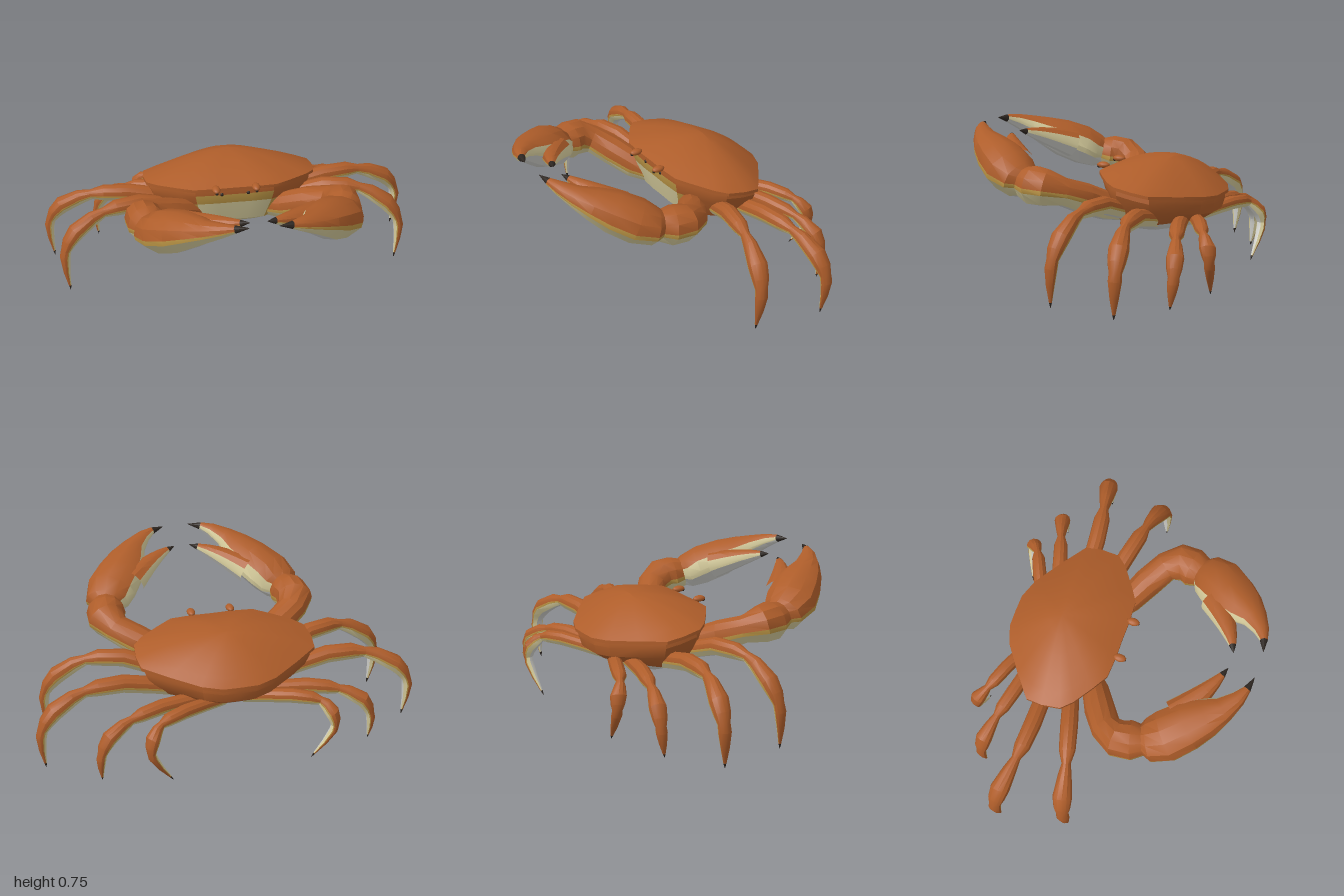
import * as THREE from 'three';
import { toCreasedNormals } from 'three/addons/utils/BufferGeometryUtils.js';

const V = (x, y, z) => new THREE.Vector3(x, y, z);
const UP = V(0, 1, 0);

const makeMaterial = (name, color) => {
  const m = new THREE.MeshStandardMaterial({ color });
  m.name = name;
  return m;
};
const materials = [
  makeMaterial('rustOrange', 0xae5d2a),
  makeMaterial('ochre', 0xba9444),
  makeMaterial('cream', 0xd6cc9c),
  makeMaterial('paleUnderside', 0xcfcfca),
  makeMaterial('darkTip', 0x2c2520),
];
const ORANGE = 0, OCHRE = 1, CREAM = 2, PALE = 3, DARK = 4;

// Skin a row of closed rings; colourOf(segment, side) picks each face's colour
function loft(name, rings, colourOf, crease = 0.5) {
  const faces = materials.map(() => []);
  const n = rings[0].length;
  for (let i = 0; i < rings.length - 1; i++) {
    for (let k = 0; k < n; k++) {
      const l = (k + 1) % n;
      const a = rings[i][k], b = rings[i][l], c = rings[i + 1][l], d = rings[i + 1][k];
      faces[colourOf(i, k)].push(a, b, c, a, c, d);
    }
  }
  const geo = toCreasedNormals(new THREE.BufferGeometry().setFromPoints(faces.flat()), crease);
  let start = 0;
  faces.forEach((list, m) => {
    if (list.length) geo.addGroup(start, list.length, m);
    start += list.length;
  });
  const mesh = new THREE.Mesh(geo, materials);
  mesh.name = name;
  return mesh;
}

// Corner angles around a limb, with narrow ochre faces next to the orange back
const ANGLES = [0, 30, 60, 90, 120, 150, 180, 195, 240, 270, 300, 345].map(THREE.MathUtils.degToRad);
// Leg faces: orange back, thin ochre and cream bands, pale underside
const LEG_BANDS = [ORANGE, ORANGE, ORANGE, ORANGE, ORANGE, ORANGE, OCHRE, CREAM, PALE, PALE, CREAM, OCHRE];
// Pincer faces: the pale area climbs the inner flank
const LEFT_PINCER = [ORANGE, ORANGE, ORANGE, ORANGE, ORANGE, CREAM, CREAM, PALE, PALE, PALE, CREAM, OCHRE];
const RIGHT_PINCER = LEFT_PINCER.map((_, k) => LEFT_PINCER[(17 - k) % 12]);

// Limb from rows of [x, y, z, half width, half height]; fixedSide keeps bends in one plane
function limb(name, rows, { fixedSide = null, darkTip = false, bands = LEG_BANDS, place }) {
  const centres = rows.map(([x, y, z]) => place(x, y, z));
  const last = rows.length - 1;
  const rings = rows.map(([, , , rw, rh], i) => {
    const t = centres[Math.min(i + 1, last)].clone().sub(centres[Math.max(i - 1, 0)]).normalize();
    const side = (fixedSide ? fixedSide.clone() : UP.clone().cross(t)).normalize();
    const up = t.clone().cross(side).normalize();
    return ANGLES.map((a) => centres[i].clone()
      .addScaledVector(side, rw * Math.cos(a))
      .addScaledVector(up, rh * Math.sin(a)));
  });
  return loft(name, rings, (i, k) => (darkTip && i === last - 1 ? DARK : bands[k]));
}

// Walking legs, front to back: thickness scale and joints from root to tip
const LEGS = [
  { scale: 1, joints: [V(.22, .33, -.22), V(.5, .44, -.15), V(.69, .43, -.11),
    V(.84, .345, -.08), V(.905, .225, -.06), V(.89, .008, -.044)] },
  { scale: 1, joints: [V(.22, .32, -.33), V(.54, .4, -.34), V(.74, .395, -.368),
    V(.9, .325, -.4), V(.97, .215, -.412), V(.957, .008, -.4)] },
  { scale: .86, joints: [V(.1, .315, -.42), V(.38, .33, -.495), V(.54, .31, -.548),
    V(.66, .25, -.588), V(.705, .15, -.597), V(.703, .008, -.58)] },
  { scale: .8, joints: [V(.05, .31, -.46), V(.28, .335, -.575), V(.41, .318, -.638),
    V(.462, .265, -.68), V(.472, .185, -.694), V(.362, .008, -.664)] },
];
// Shared leg thickness: [place along the leg, half width, half height]
const LEG_PROFILE = [[0, .04, .038], [.1, .044, .044], [.2, .046, .046], [.33, .043, .042],
  [.4, .024, .028], [.47, .036, .04], [.6, .051, .045], [.7, .044, .036], [.77, .032, .026],
  [.82, .034, .027], [.9, .023, .018], [.975, .008, .007], [1, .001, .001]];

function legRows({ scale, joints }) {
  const path = new THREE.CatmullRomCurve3(joints);
  return LEG_PROFILE.map(([u, rw, rh]) => [...path.getPoint(u).toArray(), rw * scale, rh * scale]);
}

// Arm sections, then the palm running on into the outer finger
const ARM = [[.2, .36, -.13, .06, .06], [.28, .39, -.06, .07, .075], [.39, .44, .005, .08, .08],
  [.49, .487, .075, .08, .072], [.53, .51, .15, .098, .095], [.52, .515, .22, .103, .1],
  [.503, .525, .29, .075, .075]];
const PALM = [[.505, .52, .25, .06, .065], [.497, .53, .305, .115, .092], [.46, .565, .38, .136, .108],
  [.39, .612, .47, .128, .102], [.335, .655, .55, .102, .078], [.285, .69, .615, .066, .055],
  [.22, .722, .667, .04, .036], [.165, .74, .695, .02, .02], [.1, .751, .712, .001, .001]];

// Curved, tapering inner finger
function fingerRows(base, bend, tip, radius) {
  const path = new THREE.QuadraticBezierCurve3(base, bend, tip);
  return path.getPoints(6).map((p, i) => {
    const r = radius * (1 - i / 6) ** 0.85 + .001;
    return [p.x, p.y, p.z, r, r * .95];
  });
}
const INNER_FINGER = fingerRows(V(.345, .59, .39), V(.19, .665, .525), V(.068, .692, .57), .078);

// Carapace outline, front centre to back centre, mirrored into a loop
const HALF = [[0, 0], [.1, .002], [.22, -.005], [.3, -.055], [.4, -.125], [.45, -.18], [.46, -.28],
  [.45, -.365], [.33, -.46], [.19, -.56], [.09, -.598], [0, -.6]];
const OUTLINE = [...HALF, ...HALF.slice(1, -1).reverse().map(([x, z]) => [-x, z])];
const rimY = (z) => 0.555 + 0.18 * z;
const bodyRing = (s, height, midZ = -.28) => OUTLINE.map(([x, z]) => {
  const pz = midZ + (z - midZ) * s;
  return V(x * s, height(rimY(pz)), pz);
});

function createBody(group) {
  // Domed carapace with a thin lip
  const shell = [bodyRing(.93, (r) => r - .02), bodyRing(1, (r) => r - .016), bodyRing(1, (r) => r)];
  for (const s of [.84, .66, .45, .22, .001]) {
    shell.push(bodyRing(s, (r) => r + .123 * (1 - s ** 1.6), -.33));
  }
  group.add(loft('carapace', shell, () => ORANGE, 0.6));

  // Underbody with a pale belly and a cream face
  const under = [bodyRing(.001, () => .276), bodyRing(.55, () => .278), bodyRing(.75, () => .32),
    bodyRing(.9, (r) => r - .1), bodyRing(.95, (r) => r - .045), bodyRing(.94, (r) => r - .012)];
  group.add(loft('underbody', under, (i, k) => {
    const steps = Math.min(k, OUTLINE.length - 1 - k);
    if (i === 0) return PALE;
    if (i === 1) return steps < 4 ? CREAM : PALE;
    if (steps < 2 && i < 4) return i === 2 ? CREAM : OCHRE;
    if (steps < 3 && i === 2) return OCHRE;
    return ORANGE;
  }));

  // Short flattened eyes and dark spots on the front edge
  for (const side of [-1, 1]) {
    const eye = new THREE.Group();
    eye.name = side > 0 ? 'leftEye' : 'rightEye';
    const ball = (name, radius, material, x, y, z) => {
      const mesh = new THREE.Mesh(new THREE.SphereGeometry(radius, 10, 8), material);
      mesh.name = name;
      mesh.position.set(side * x, y, z);
      eye.add(mesh);
      return mesh;
    };
    ball('eyeStalk', .022, materials[ORANGE], .105, .563, .022).scale.set(1, .75, 1.6);
    ball('pupil', .009, materials[DARK], .105, .555, .048);
    ball('faceSpot', .011, materials[DARK], .07, .51, -.018);
    group.add(eye);
  }
}

export function createModel() {
  const model = new THREE.Group();
  model.name = 'crab';
  createBody(model);

  for (const side of [1, -1]) {
    const label = side > 0 ? 'left' : 'right';
    // The right limbs are posed slightly differently from the left
    const placeLeg = (x, y, z) => V(side * x, y, side > 0 ? z : z + .05 * Math.min(1, x / .7));
    const placeClaw = (x, y, z) => V(side > 0 ? x : -x + .025 + .045 * Math.max(0, z), y, z);

    LEGS.forEach((leg, i) => {
      const [root, , , shin] = leg.joints.map((p) => placeLeg(p.x, p.y, p.z));
      const fixedSide = UP.clone().cross(shin.sub(root));
      model.add(limb(`${label}Leg${i + 1}`, legRows(leg), { fixedSide, darkTip: true, place: placeLeg }));
    });

    const pincer = { place: placeClaw, darkTip: true, bands: side > 0 ? LEFT_PINCER : RIGHT_PINCER };
    const claw = new THREE.Group();
    claw.name = `${label}Claw`;
    claw.add(
      limb('arm', ARM, { place: placeClaw }),
      limb('palmAndOuterFinger', PALM, pincer),
      limb('innerFinger', INNER_FINGER, pincer),
    );
    model.add(claw);
  }
  return model;
}
